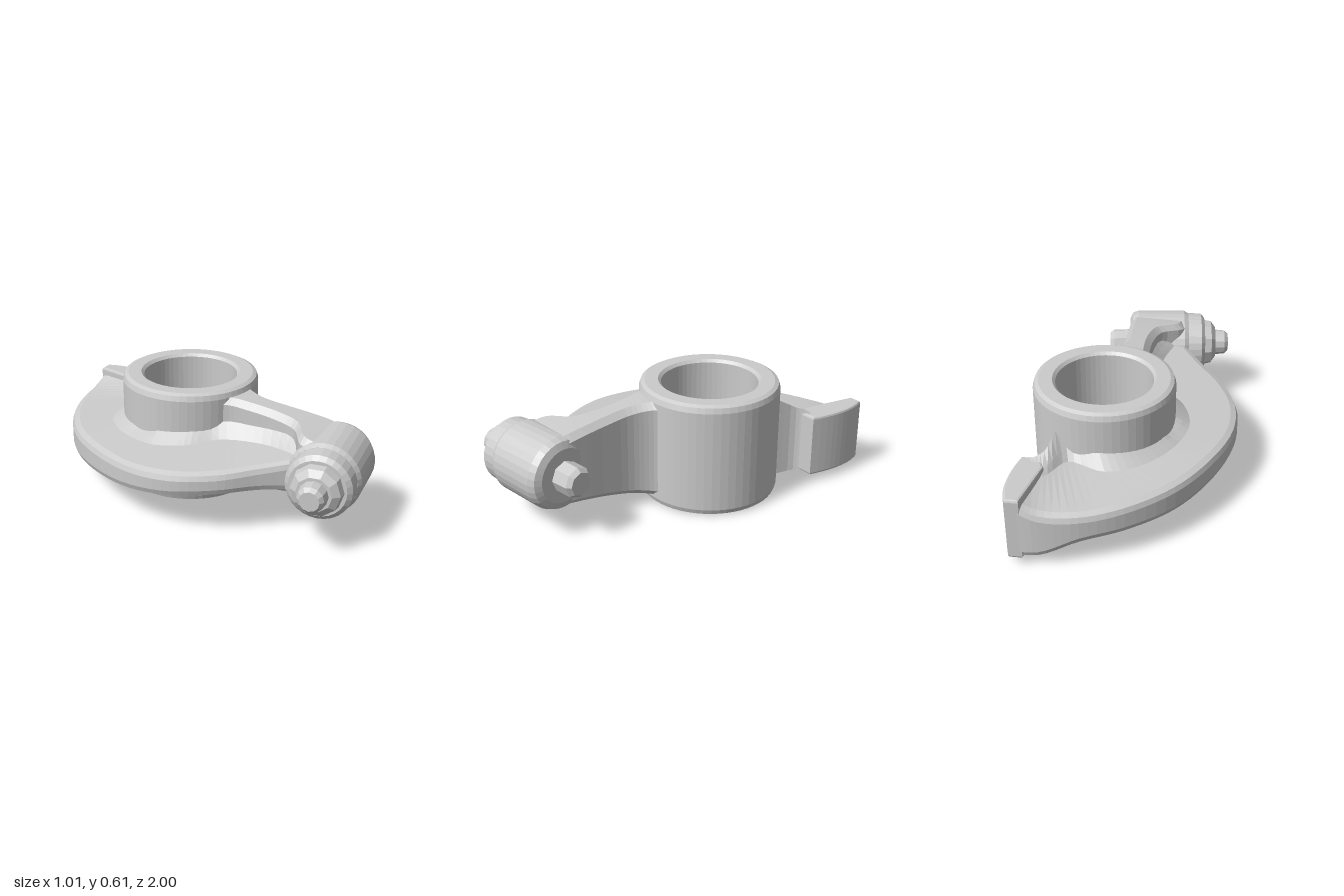
import * as THREE from 'three';

const mat = new THREE.MeshStandardMaterial({ color: 0xcccccc, flatShading: true });

function add(parent, name, geometry) {
  const mesh = new THREE.Mesh(geometry, mat);
  mesh.name = name;
  parent.add(mesh);
  return mesh;
}

// Skins equal-length rings of Vector3 (counter-clockwise seen from the last ring) and caps both ends
function loft(rings) {
  const n = rings[0].length, last = rings.length - 1, pos = [], idx = [];
  rings.forEach((r) => r.forEach((p) => pos.push(p.x, p.y, p.z)));
  for (let i = 0; i < last; i++) {
    for (let j = 0; j < n; j++) {
      const a = i * n + j, b = i * n + (j + 1) % n;
      idx.push(a, b, b + n, a, b + n, a + n);
    }
  }
  [0, last].forEach((i) => {
    const c = new THREE.Vector3();
    rings[i].forEach((p) => c.addScaledVector(p, 1 / n));
    const k = pos.length / 3;
    pos.push(c.x, c.y, c.z);
    for (let j = 0; j < n; j++) {
      const a = i * n + j, b = i * n + (j + 1) % n;
      if (i === 0) idx.push(k, b, a);
      else idx.push(k, a, b);
    }
  });
  const g = new THREE.BufferGeometry();
  g.setAttribute('position', new THREE.Float32BufferAttribute(pos, 3));
  g.setIndex(idx);
  g.computeVertexNormals();
  return g;
}

// Moves from a towards b by distance d
const step = (a, b, d) => a.clone().addScaledVector(b.clone().sub(a).normalize(), d);
const lathe = (pts, seg) => new THREE.LatheGeometry(pts.map(([r, y]) => new THREE.Vector2(r, y)), seg);

// Crescent plate: outer x,z, inner x,z, top outer/inner, bottom outer/inner, fillet rise at the hub
const plateRows = [
  [0.32, -0.995, 0.36, -0.67, 0.38, 0.385, 0.055, 0.055, 0],
  [0.18, -0.97, 0.29, -0.61, 0.315, 0.375, 0.065, 0.06, 0.04],
  [0.0, -0.9, 0.25, -0.45, 0.3, 0.36, 0.14, 0.09, 0.13],
  [-0.18, -0.77, 0.08, -0.47, 0.305, 0.345, 0.155, 0.12, 0.11],
  [-0.36, -0.55, -0.05, -0.4, 0.315, 0.35, 0.16, 0.14, 0.09],
  [-0.47, -0.28, -0.14, -0.26, 0.325, 0.36, 0.175, 0.15, 0.07],
  [-0.51, 0.0, -0.16, -0.1, 0.33, 0.365, 0.195, 0.155, 0.07],
  [-0.46, 0.23, -0.09, 0.03, 0.34, 0.375, 0.215, 0.165, 0.08],
  [-0.33, 0.42, 0.04, 0.12, 0.355, 0.39, 0.235, 0.17, 0.11],
  [-0.18, 0.55, 0.13, 0.35, 0.375, 0.405, 0.245, 0.185, 0.12],
  [-0.06, 0.66, 0.14, 0.64, 0.395, 0.42, 0.24, 0.19, 0.09],
];

function plateGeometry() {
  const curve = (fn) => new THREE.CatmullRomCurve3(plateRows.map((r) => new THREE.Vector3(...fn(r))));
  const outTop = curve((r) => [r[0], r[4], r[1]]), outBot = curve((r) => [r[0], r[6], r[1]]);
  const inTop = curve((r) => [r[2], r[5], r[3]]), inBot = curve((r) => [r[2], r[7], r[3]]);
  const rise = curve((r) => [r[8], 0, 0]);
  const rings = [], N = 50;
  for (let i = 0; i <= N; i++) {
    const [ot, ob, it, ib, h] = [outTop, outBot, inTop, inBot, rise].map((c) => c.getPoint(i / N));
    const up = new THREE.Vector3(0, Math.max(0, h.x), 0);
    rings.push([
      step(ob, ot, 0.035), step(step(ob, ib, 0.011), ot, 0.01), step(ob, ib, 0.04),
      step(ib, ob, 0.13), step(ib, ob, 0.09).addScaledVector(up, -0.1), ib.clone().addScaledVector(up, -0.4),
      it.clone().add(up), step(it, ot, 0.09).addScaledVector(up, 0.3), step(it, ot, 0.13),
      step(ot, it, 0.04), step(step(ot, it, 0.011), ob, 0.01), step(ot, ob, 0.035),
    ]);
  }
  return loft(rings);
}

// Contact pad with a bowed face, at the tip of the plate
function padGeometry() {
  const b = 0.012;
  const shape = new THREE.Shape();
  shape.moveTo(0.27, 0.975);
  shape.lineTo(0.32, 0.985);
  shape.quadraticCurveTo(0.395, 0.87, 0.382, 0.66);
  shape.lineTo(0.31, 0.645);
  shape.lineTo(0.27, 0.7);
  shape.closePath();
  const g = new THREE.ExtrudeGeometry(shape, {
    depth: 0.34 - 2 * b, bevelSize: b, bevelThickness: b, bevelSegments: 2, curveSegments: 10,
  });
  return g.rotateX(-Math.PI / 2).translate(0, 0.05 + b, 0);
}

// Tall web: z, left x, right x, bottom, top
const webRows = [
  [0.12, -0.03, 0.29, 0.045, 0.575],
  [0.2, 0.025, 0.235, 0.055, 0.575],
  [0.3, 0.055, 0.215, 0.075, 0.565],
  [0.45, 0.08, 0.24, 0.11, 0.55],
  [0.58, 0.07, 0.27, 0.135, 0.535],
  [0.68, -0.02, 0.29, 0.15, 0.52],
  [0.78, -0.02, 0.29, 0.17, 0.5],
];

function webGeometry() {
  const lo = new THREE.CatmullRomCurve3(webRows.map((r) => new THREE.Vector3(r[1], r[3], r[0])));
  const hi = new THREE.CatmullRomCurve3(webRows.map((r) => new THREE.Vector3(r[2], r[4], r[0])));
  const rings = [], N = 24, c = 0.032;
  for (let i = 0; i <= N; i++) {
    const a = lo.getPoint(i / N), b = hi.getPoint(i / N);
    rings.push([
      [a.x + c, a.y], [b.x - c, a.y], [b.x, a.y + c], [b.x, b.y - c],
      [b.x - c, b.y], [a.x + c, b.y], [a.x, b.y - c], [a.x, a.y + c],
    ].map(([x, y]) => new THREE.Vector3(x, y, (a.z + b.z) / 2)));
  }
  return loft(rings);
}

export function createModel() {
  const model = new THREE.Group();
  model.name = 'rockerArm';

  // Bored hub with rounded rims
  const hub = add(model, 'hub', lathe([
    [0.25, 0.02], [0.265, 0.005], [0.335, 0.005], [0.355, 0.015], [0.364, 0.04],
    [0.364, 0.575], [0.355, 0.602], [0.335, 0.612], [0.265, 0.612], [0.25, 0.597], [0.25, 0.02],
  ], 56));
  hub.position.set(0.141, 0, -0.165);

  add(model, 'crescentPlate', plateGeometry());
  add(model, 'contactPad', padGeometry());
  add(model, 'web', webGeometry());

  // Cross boss with its adjuster, lying along a slanted axis
  const end = new THREE.Group();
  end.name = 'adjusterEnd';
  end.position.set(0.12, 0.335, 0.77);
  end.rotation.y = 0.333;
  model.add(end);
  const turned = (name, pts, seg) => add(end, name, lathe(pts, seg).rotateZ(-Math.PI / 2));
  turned('boss', [[0, -0.14], [0.172, -0.14], [0.186, -0.115], [0.188, 0.15], [0.175, 0.185], [0.14, 0.2], [0, 0.2]], 32);
  turned('collar', [[0, -0.235], [0.145, -0.235], [0.168, -0.215], [0.172, -0.13], [0, -0.13]], 28);
  turned('lockNut', [[0, -0.3], [0.09, -0.3], [0.125, -0.275], [0.135, -0.22], [0, -0.22]], 10);
  turned('screwTip', [[0, -0.375], [0.05, -0.375], [0.068, -0.355], [0.075, -0.28], [0, -0.28]], 12);
  turned('screwHead', [[0, 0.18], [0.08, 0.18], [0.078, 0.295], [0.06, 0.318], [0, 0.318]], 8);

  return model;
}
